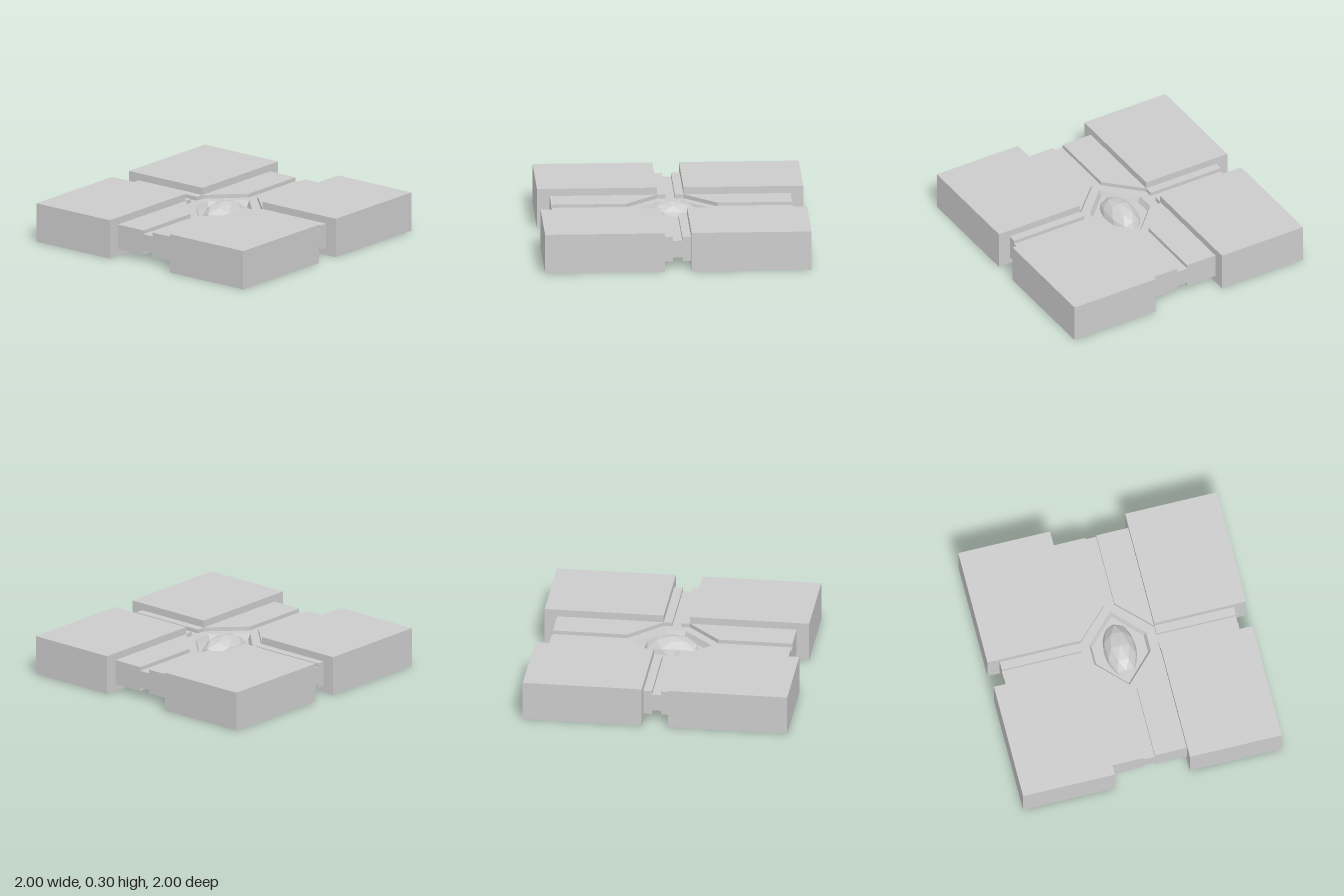
import * as THREE from 'three';

const material = new THREE.MeshStandardMaterial({ color: 0xcccccc, flatShading: true });
const MID = 0.15;                     // height of the symmetry plane
const FLOOR = 0.065, TOP = 0.095;     // channel floor and web top, from MID
const POCKET = 0.02;                  // pocket floor, from MID

const shapeOf = (pts) => new THREE.Shape(pts.map(([x, z]) => new THREE.Vector2(x, z)));

// Extrude a plan outline upward between two heights
function slab(shape, y0, y1) {
  return new THREE.ExtrudeGeometry(shape, { depth: y1 - y0, bevelEnabled: false })
    .rotateX(-Math.PI / 2).translate(0, y0, 0);
}

function hexagon(x, z, tip) {
  return [[x, -z], [x, z], [0, tip], [-x, z], [-x, -z], [0, -tip]];
}

// Sloping walls between two plan loops
function slopedWalls(outer, yOuter, inner, yInner) {
  const pos = [];
  outer.forEach(([x, z], i) => {
    const j = (i + 1) % outer.length;
    const a = [x, yOuter, z], b = [outer[j][0], yOuter, outer[j][1]];
    const c = [inner[j][0], yInner, inner[j][1]], d = [inner[i][0], yInner, inner[i][1]];
    pos.push(...a, ...b, ...c, ...a, ...c, ...d);
  });
  const g = new THREE.BufferGeometry();
  g.setAttribute('position', new THREE.Float32BufferAttribute(pos, 3));
  g.computeVertexNormals();
  return g;
}

export function createModel() {
  const group = new THREE.Group();
  const add = (parent, geometry, name, mat = material) => {
    const mesh = new THREE.Mesh(geometry, mat);
    mesh.name = name;
    parent.add(mesh);
    return mesh;
  };

  // Four corner blocks
  for (const sx of [-1, 1]) for (const sz of [-1, 1]) {
    const block = add(group, new THREE.BoxGeometry(0.71, 0.3, 0.9), 'cornerBlock');
    block.position.set(sx * 0.645, MID, sz * 0.55);
  }

  // Cross-shaped web, open at the centre
  const rim = hexagon(0.22, 0.075, 0.3), base = hexagon(0.2, 0.067, 0.275);
  const cross = shapeOf([
    [0.29, 0.1], [0.29, 0.905], [-0.29, 0.905], [-0.29, 0.1], [-0.905, 0.1], [-0.905, -0.1],
    [-0.29, -0.1], [-0.29, -0.905], [0.29, -0.905], [0.29, -0.1], [0.905, -0.1], [0.905, 0.1],
  ]);
  cross.holes.push(shapeOf(rim));
  add(group, slab(cross, MID - FLOOR, MID + FLOOR), 'web');

  // Raised plates leaving the channels, and the sunken pocket, on both faces
  const wallMaterial = material.clone();
  wallMaterial.side = THREE.DoubleSide;
  for (const turn of [0, Math.PI]) {
    const face = new THREE.Group();
    face.name = turn ? 'lowerFace' : 'upperFace';
    face.position.y = MID;
    face.rotation.z = turn;
    for (const sx of [-1, 1]) for (const sz of [-1, 1]) {
      const plate = [[0.043, 0.345], [0.29, 0.1], [0.29, 0.905], [0.043, 0.905]]
        .map(([x, z]) => [x * sx, z * sz]);
      add(face, slab(shapeOf(plate), FLOOR, TOP), 'channelPlate');
      const rail = add(face, new THREE.BoxGeometry(0.615, TOP - FLOOR, 0.065), 'channelRail');
      rail.position.set(sx * 0.5975, (FLOOR + TOP) / 2, sz * 0.0675);
    }
    add(face, slopedWalls(rim, FLOOR, base, POCKET), 'pocketWalls', wallMaterial);
    add(face, new THREE.ShapeGeometry(shapeOf(base)).rotateX(-Math.PI / 2).translate(0, POCKET, 0),
      'pocketFloor');
    group.add(face);
  }

  // Faceted gem set through the centre
  const gem = add(group, new THREE.IcosahedronGeometry(1, 1), 'gem');
  gem.scale.set(0.13, 0.127, 0.22);
  gem.position.y = MID;

  return group;
}
